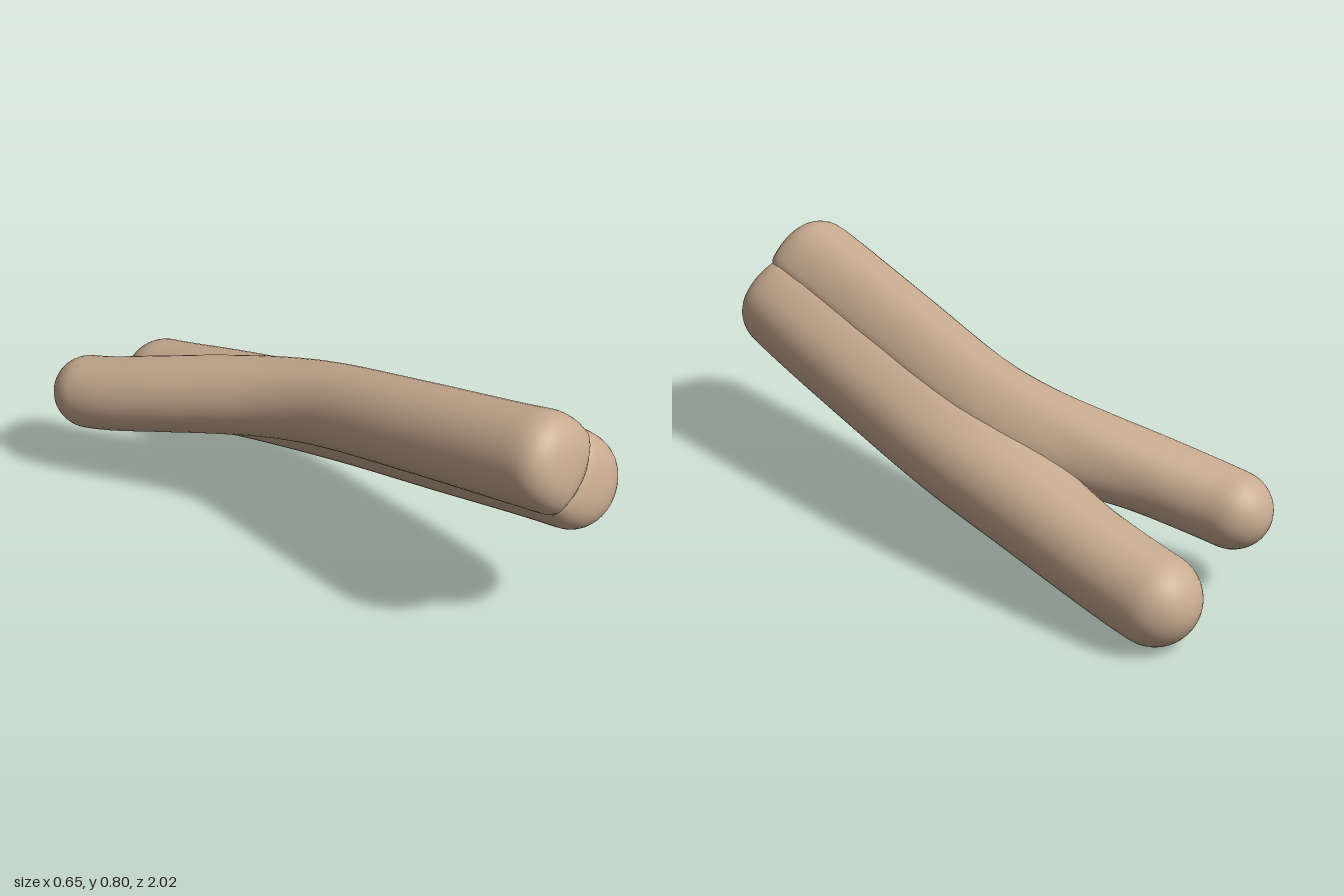
import * as THREE from 'three';
import { mergeVertices } from 'three/addons/utils/BufferGeometryUtils.js';

const SIDES = 40, CAP = 10, BODY = 60, BLEND = 0.11;
const curve = pts => new THREE.CatmullRomCurve3(pts.map(p => new THREE.Vector3(...p)));

// Each limb runs from the blunt front end to its rounded back tip
const limbs = [
  {
    name: 'thickLimb', r0: 0.15, r1: 0.145, frontCap: 0.12, backCap: 0.145,
    path: curve([[-0.02, 0.555, 1.0], [0.02, 0.51, 0.8], [0.08, 0.42, 0.4], [0.135, 0.335, 0],
      [0.165, 0.255, -0.4], [0.175, 0.21, -0.6], [0.18, 0.165, -0.8], [0.183, 0.13, -1.0]]),
  },
  {
    name: 'thinLimb', r0: 0.15, r1: 0.122, frontCap: 0.12, backCap: 0.125,
    path: curve([[-0.14, 0.69, 0.97], [-0.125, 0.652, 0.8], [-0.07, 0.565, 0.4], [-0.02, 0.475, 0],
      [-0.033, 0.432, -0.2], [-0.08, 0.392, -0.4], [-0.14, 0.35, -0.6], [-0.195, 0.307, -0.8], [-0.22, 0.278, -0.98]]),
  },
];

// Distance from a point to the surface of a limb
function distanceTo(limb, p) {
  let best = Infinity;
  for (let i = 0; i <= 60; i++) {
    const u = i / 60;
    const r = THREE.MathUtils.lerp(limb.r0, limb.r1, u);
    best = Math.min(best, p.distanceTo(limb.samples[i]) - r);
  }
  return best;
}

// Stations along the limb: distance and radius factor, closed by caps
function stations(limb, length) {
  const list = [];
  const cap = (size, power, back) => {
    for (let i = 0; i <= CAP; i++) {
      const a = (back ? CAP - i : i) / CAP * Math.PI / 2;
      const s = size * (1 - Math.pow(Math.cos(a), 2 / power));
      const f = i === (back ? CAP : 0) ? 0 : Math.pow(Math.sin(a), 2 / power);
      list.push([back ? length - s : s, f]);
    }
  };
  cap(limb.frontCap, 2.5, false);
  const from = limb.frontCap, to = length - limb.backCap;
  for (let i = 1; i < BODY; i++) list.push([from + (to - from) * i / BODY, 1]);
  cap(limb.backCap, 2, true);
  return list;
}

function limbGeometry(limb, other) {
  const length = limb.path.getLength();
  const rows = stations(limb, length);
  const pos = [], index = [];
  const up = new THREE.Vector3(0, 1, 0);
  rows.forEach(([s, f], i) => {
    const u = THREE.MathUtils.clamp(s / length, 0, 1);
    const c = limb.path.getPointAt(u), t = limb.path.getTangentAt(u);
    const side = t.clone().cross(up).normalize();
    const top = side.clone().cross(t);
    const r = THREE.MathUtils.lerp(limb.r0, limb.r1, u) * f;
    for (let j = 0; j < SIDES; j++) {
      const a = j / SIDES * Math.PI * 2;
      const dir = side.clone().multiplyScalar(Math.cos(a)).addScaledVector(top, Math.sin(a));
      const p = c.clone().addScaledVector(dir, r);
      // Swell softly where the two limbs meet
      const near = Math.max(1 - Math.abs(distanceTo(other, p)) / BLEND, 0);
      p.addScaledVector(dir, f * BLEND / 4 * near * near);
      pos.push(p.x, p.y, p.z);
      if (i < rows.length - 1) {
        const k = (j + 1) % SIDES, A = i * SIDES, B = A + SIDES;
        index.push(A + j, B + j, A + k, A + k, B + j, B + k);
      }
    }
  });
  const g = new THREE.BufferGeometry();
  g.setAttribute('position', new THREE.Float32BufferAttribute(pos, 3));
  g.setIndex(index);
  const merged = mergeVertices(g, 1e-5);
  merged.computeVertexNormals();
  return merged;
}

export function createModel() {
  const group = new THREE.Group();
  group.name = 'forkedBranch';
  const tan = new THREE.MeshStandardMaterial({ color: 0xc8ab90 });
  tan.name = 'tan';
  for (const limb of limbs) limb.samples = limb.path.getSpacedPoints(60);
  limbs.forEach((limb, i) => {
    const mesh = new THREE.Mesh(limbGeometry(limb, limbs[1 - i]), tan);
    mesh.name = limb.name;
    group.add(mesh);
  });
  return group;
}
